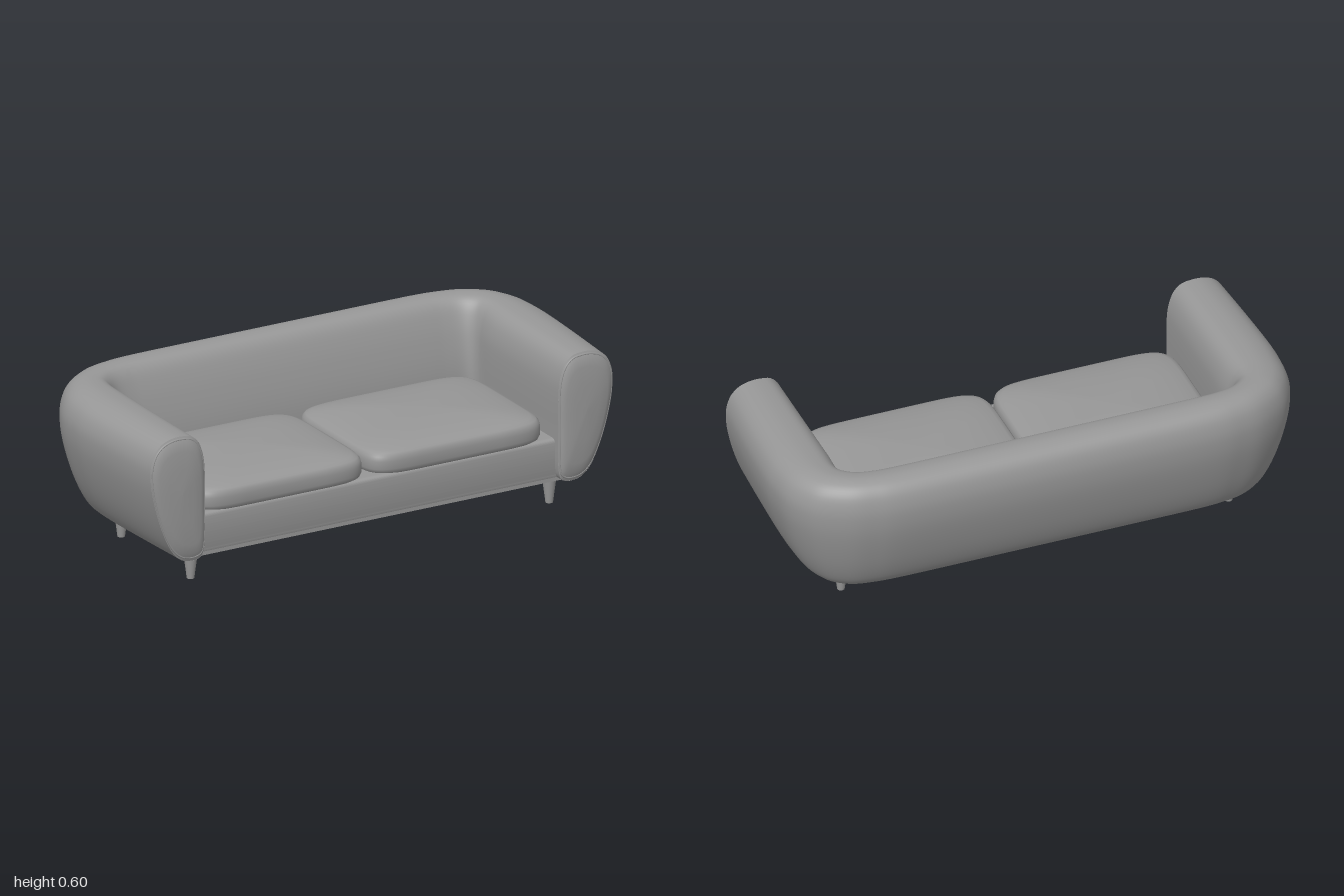
import * as THREE from 'three';

const V = (x, y, z) => new THREE.Vector3(x, y, z);
const fabric = new THREE.MeshStandardMaterial({ color: 0x979797, side: THREE.DoubleSide });

function mesh(name, geometry) {
  const m = new THREE.Mesh(geometry, fabric);
  m.name = name;
  return m;
}

// Smooth skin over a list of closed rings with equal point counts
function loft(rings) {
  const n = rings[0].length, index = [];
  for (let i = 0; i < rings.length - 1; i++) {
    for (let j = 0; j < n; j++) {
      const k = (j + 1) % n;
      const a = i * n + j, b = i * n + k, c = b + n, d = a + n;
      index.push(a, b, d, b, c, d);
    }
  }
  const g = new THREE.BufferGeometry().setFromPoints(rings.flat());
  g.setIndex(index);
  g.computeVertexNormals();
  return g;
}

// Plan stations of one half: inner x, inner z, outer x, outer z, backrest lean
const half = [
  [0.745, 0.41, 0.975, 0.41, 0], [0.745, 0.2, 0.99, 0.2, 0],
  [0.745, 0.02, 1.0, 0, 0], [0.745, -0.08, 0.998, -0.1, 0.02],
  [0.745, -0.135, 0.985, -0.2, 0.12], [0.741, -0.163, 0.95, -0.28, 0.35],
  [0.73, -0.184, 0.9, -0.34, 0.6], [0.705, -0.197, 0.81, -0.395, 0.85],
  [0.655, -0.202, 0.72, -0.42, 1], [0.57, -0.203, 0.6, -0.435, 1],
  [0.3, -0.203, 0.3, -0.437, 1],
];
const stations = [...half, [0, -0.203, 0, -0.437, 1],
  ...half.slice().reverse().map(([a, b, c, d, e]) => [-a, b, -c, d, e])];
const innerPath = new THREE.CatmullRomCurve3(stations.map(s => V(s[0], s[4], s[1])), false, 'catmullrom');
const outerPath = new THREE.CatmullRomCurve3(stations.map(s => V(s[2], 0, s[3])), false, 'catmullrom');

// Upholstery profile: share of the thickness (0 inside, 1 outside) and height
const profile = new THREE.CatmullRomCurve3([
  [0.03, 0.12], [0, 0.17], [0, 0.3], [0, 0.42], [0.02, 0.49], [0.09, 0.55], [0.22, 0.588],
  [0.42, 0.6], [0.63, 0.597], [0.82, 0.577], [0.94, 0.54], [0.995, 0.49], [0.99, 0.43],
  [0.93, 0.35], [0.8, 0.245], [0.64, 0.16], [0.51, 0.12], [0.36, 0.1], [0.12, 0.1],
].map(([s, y]) => V(s, y, 0)), true).getPoints(72).slice(0, -1);

function section(t) {
  const a = innerPath.getPoint(t), o = outerPath.getPoint(t);
  const rise = 0.99 - 0.04 * o.z;
  return profile.map(p => {
    const lean = 0.2 * a.y * THREE.MathUtils.smoothstep(p.y, 0.28, 0.6) * (1 - p.x);
    const s = p.x + lean;
    return V(a.x + (o.x - a.x) * s, 0.1 + (p.y - 0.1) * rise, a.z + (o.z - a.z) * s);
  });
}

// Puffy seat cushion: superellipse outlines stacked from bottom to top
function cushion(cx, hw) {
  const cz = 0.095, hd = 0.297;
  const levels = [[0, 0.25], [0.93, 0.25], [0.98, 0.257], [1, 0.275], [1, 0.305], [0.99, 0.322],
    [0.965, 0.333], [0.92, 0.34], [0.8, 0.35], [0.6, 0.36], [0.3, 0.367], [0, 0.369]];
  const pow = v => Math.sign(v) * Math.abs(v) ** (2 / 7);
  return loft(levels.map(([s, y]) => Array.from({ length: 96 }, (_, j) => {
    const a = j / 96 * Math.PI * 2;
    return V(cx + hw * s * pow(Math.cos(a)), y, cz - hd * s * pow(Math.sin(a)));
  })));
}

export function createModel() {
  const sofa = new THREE.Group();
  sofa.name = 'sofa';

  // Arms and backrest in one sweep
  const steps = 110;
  sofa.add(mesh('armsAndBackrest', loft(Array.from({ length: steps + 1 }, (_, i) => section(i / steps)))));

  // Domed arm fronts with piping
  for (const t of [0, 1]) {
    const side = t ? 'right' : 'left';
    const edge = section(t);
    const mid = V(t ? -0.853 : 0.853, 0.37, 0);
    const ring = (s, z) => edge.map(p => V(mid.x + (p.x - mid.x) * s, mid.y + (p.y - mid.y) * s, z));
    const rings = [[0, 0.435], [0.45, 0.433], [0.75, 0.428], [0.88, 0.422], [0.95, 0.414], [1, 0.409]]
      .map(([s, z]) => ring(s, z));
    sofa.add(mesh(side + 'ArmFront', loft(t ? rings.reverse() : rings)));
    const welt = new THREE.CatmullRomCurve3(ring(0.95, 0.412), true);
    sofa.add(mesh(side + 'ArmPiping', new THREE.TubeGeometry(welt, 120, 0.004, 8, true)));
  }

  // Seat base, drawn from the side and extruded across
  const s = new THREE.Shape();
  s.moveTo(0.25, 0.095);
  s.lineTo(-0.365, 0.095);
  s.quadraticCurveTo(-0.38, 0.095, -0.382, 0.12);
  s.quadraticCurveTo(-0.394, 0.19, -0.388, 0.245);
  s.quadraticCurveTo(-0.386, 0.26, -0.37, 0.26);
  s.lineTo(0.25, 0.26);
  const base = new THREE.ExtrudeGeometry(s, { depth: 1.53, bevelEnabled: false });
  base.rotateY(Math.PI / 2).translate(-0.765, 0, 0);
  sofa.add(mesh('seatBase', base));

  // Underside panel
  const under = mesh('underside', new THREE.BoxGeometry(1.58, 0.02, 0.6));
  under.position.set(0, 0.104, 0.08);
  sofa.add(under);

  // Seat cushions
  sofa.add(mesh('rightCushion', cushion(-0.388, 0.36)));
  sofa.add(mesh('leftCushion', cushion(0.352, 0.374)));

  // Tapered legs
  for (const x of [-0.765, 0.748]) {
    for (const z of [0.341, -0.152]) {
      const leg = mesh((z > 0 ? 'front' : 'back') + (x > 0 ? 'Left' : 'Right') + 'Leg',
        new THREE.CylinderGeometry(0.027, 0.014, 0.1, 20));
      leg.position.set(x, 0.05, z);
      sofa.add(leg);
    }
  }
  return sofa;
}
